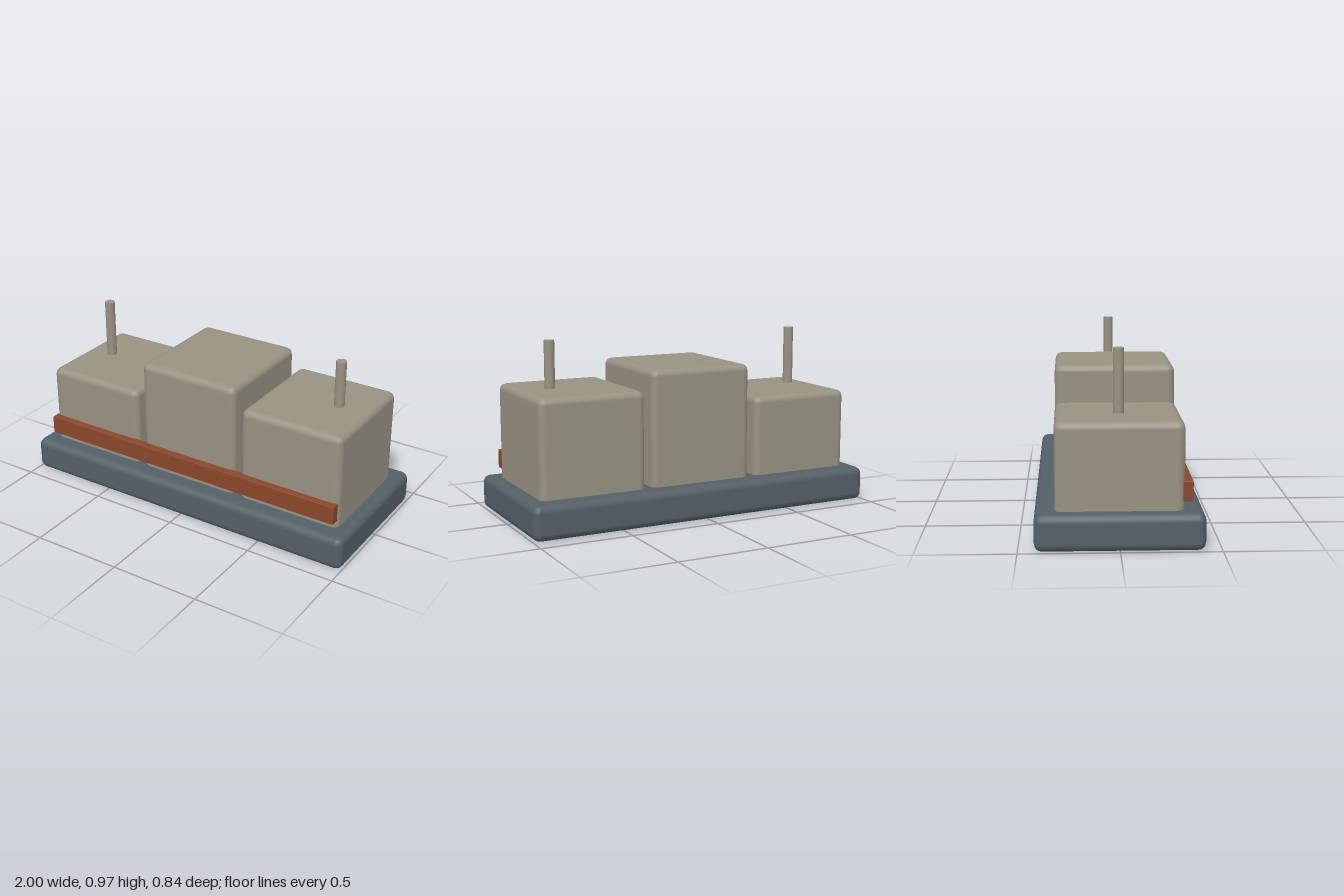
import * as THREE from 'three';
import { RoundedBoxGeometry } from 'three/addons/geometries/RoundedBoxGeometry.js';

const material = (name, color) => {
  const m = new THREE.MeshStandardMaterial({ color });
  m.name = name;
  return m;
};

export function createModel() {
  const slate = material('slate', 0x546067);
  const stone = material('stone', 0x989282);
  const rust = material('rust', 0x8a472b);

  const model = new THREE.Group();
  model.name = 'blockModel';

  const add = (name, geometry, mat, x, y, z) => {
    const mesh = new THREE.Mesh(geometry, mat);
    mesh.name = name;
    mesh.position.set(x, y, z);
    model.add(mesh);
  };
  // Rounded box standing between two heights
  const addBox = (name, mat, x, z, width, depth, bottom, top, radius) =>
    add(name, new RoundedBoxGeometry(width, top - bottom, depth, 2, radius),
      mat, x, (bottom + top) / 2, z);

  // Plinth
  addBox('base', slate, 0, 0, 2, 0.84, 0, 0.187, 0.04);

  // Three blocks of different heights, sunk into the plinth
  const blocks = [['rightBlock', -0.63, 0.628], ['middleBlock', 0, 0.815], ['leftBlock', 0.63, 0.711]];
  for (const [name, x, top] of blocks) {
    addBox(name, stone, x, 0, 0.59, 0.64, 0.14, top, 0.038);
  }

  // Rail along the front of the blocks
  addBox('frontRail', rust, 0, 0.335, 1.84, 0.05, 0.23, 0.332, 0.004);

  // Matching posts above the outer blocks
  for (const side of [-1, 1]) {
    add(side < 0 ? 'rightPost' : 'leftPost',
      new THREE.CylinderGeometry(0.028, 0.028, 0.325, 16), stone, side * 0.745, 0.8055, 0);
  }
  return model;
}
